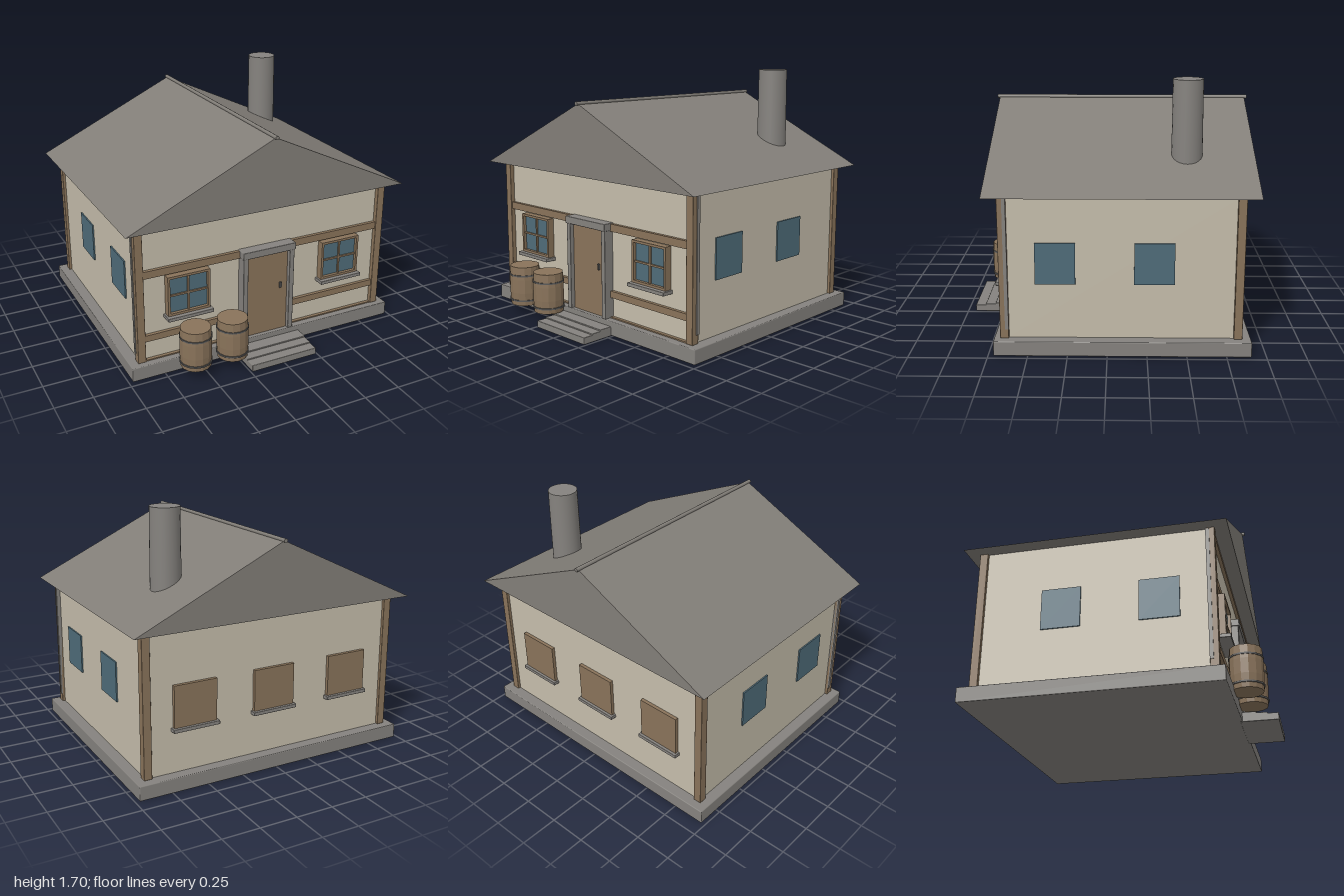
import * as THREE from 'three';
import { RoundedBoxGeometry } from 'three/addons/geometries/RoundedBoxGeometry.js';

const mat = (name, color) => Object.assign(new THREE.MeshStandardMaterial({ color }), { name });

export function createModel() {
  const house = new THREE.Group();
  house.name = 'cottage';
  const stone = mat('stone grey', 0x85827e);
  const slate = mat('roof grey', 0x827e78);
  const plaster = mat('cream plaster', 0xc5bdab);
  const wood = mat('brown wood', 0x89735a);
  const glass = mat('blue glass', 0x4f6c79);
  const iron = mat('dark iron', 0x5c5b5a);

  const add = (name, geometry, material, parent = house) => {
    const mesh = new THREE.Mesh(geometry, material);
    mesh.name = name;
    parent.add(mesh);
    return mesh;
  };
  // Box given by its limits on each axis, with an optional softened edge
  const box = (name, material, [x0, x1], [y0, y1], [z0, z1], parent = house, bevel = 0) => {
    const size = [x1 - x0, y1 - y0, z1 - z0];
    const geometry = bevel ? new RoundedBoxGeometry(...size, 1, bevel) : new THREE.BoxGeometry(...size);
    const mesh = add(name, geometry, material, parent);
    mesh.position.set((x0 + x1) / 2, (y0 + y1) / 2, (z0 + z1) / 2);
    return mesh;
  };
  const group = (name, x = 0, y = 0, z = 0) => {
    const g = new THREE.Group();
    g.name = name;
    g.position.set(x, y, z);
    house.add(g);
    return g;
  };

  // Foundation, steps and walls
  box('foundation', stone, [-0.975, 0.975], [0.003, 0.1], [-0.905, 0.715], house, 0.006);
  [[0.048, 0.945], [0.056, 0.875], [0.065, 0.805]].forEach(([top, front]) =>
    box('step', stone, [-0.24, 0.24], [0, top], [0.7, front], house, 0.005));
  box('walls', plaster, [-0.9, 0.9], [0.09, 1.035], [-0.83, 0.645]);

  // Gabled roof with a ridge pole
  const gable = new THREE.Shape([[-1, 1.03], [1, 1.03], [0, 1.502]].map(p => new THREE.Vector2(...p)));
  const roof = add('roof', new THREE.ExtrudeGeometry(gable, { depth: 1.69, bevelEnabled: false }), slate);
  roof.position.z = -0.93;
  const ridge = add('ridgePole', new THREE.CylinderGeometry(0.013, 0.013, 1.722, 10), slate);
  ridge.rotation.x = Math.PI / 2;
  ridge.position.set(0, 1.504, -0.085);

  // Chimney
  const chimney = add('chimney', new THREE.CylinderGeometry(0.096, 0.1, 0.62, 24), stone);
  chimney.position.set(0.59, 1.39, -0.5);

  // Corner posts, side strips and side windows
  for (const s of [-1, 1]) {
    const span = (a, b) => (s > 0 ? [a, b] : [-b, -a]);
    box('frontPost', wood, span(0.865, 0.92), [0.1, 1.03], [0.62, 0.676], house, 0.004);
    box('backPost', wood, span(0.865, 0.92), [0.1, 1.03], [-0.85, -0.795], house, 0.004);
    box('sideStrip', stone, span(0.895, 0.926), [0.16, 1.02], [0.62, 0.643]);
    for (const z of [0.325, -0.293])
      box('sideWindow', glass, span(0.9, 0.909), [0.458, 0.725], [z - 0.126, z + 0.126]);
  }

  // Timber beams across the front
  [[0.24, 0.285], [0.685, 0.735], [1.008, 1.032], [0.098, 0.108]].forEach(y =>
    box('frontBeam', wood, [-0.866, 0.866], y, [0.63, 0.668]));

  // Door and its stone surround
  const door = group('door');
  box('doorPanel', wood, [-0.155, 0.155], [0.1, 0.69], [0.64, 0.685], door);
  for (const s of [-1, 1])
    box('doorJamb', stone, [s * 0.172 - 0.018, s * 0.172 + 0.018], [0.1, 0.7], [0.64, 0.715], door, 0.005);
  box('doorLintel', stone, [-0.195, 0.195], [0.69, 0.74], [0.64, 0.722], door, 0.005);
  box('doorHandle', iron, [0.095, 0.109], [0.415, 0.455], [0.68, 0.697], door);

  // Front windows: glass, frame, glazing bars and sill
  for (const x of [-0.566, 0.566]) {
    const win = group('frontWindow', x);
    box('glassPane', glass, [-0.14, 0.14], [0.405, 0.67], [0.64, 0.673], win);
    for (const s of [-1, 1]) {
      box('frameSide', wood, [s * 0.139 - 0.008, s * 0.139 + 0.008], [0.4, 0.675], [0.64, 0.695], win);
      const y = 0.5375 + s * 0.1295;
      box('frameRail', wood, [-0.147, 0.147], [y - 0.008, y + 0.008], [0.64, 0.695], win);
    }
    box('uprightBar', wood, [-0.006, 0.006], [0.4, 0.675], [0.65, 0.684], win);
    box('crossBar', wood, [-0.14, 0.14], [0.53, 0.542], [0.65, 0.684], win);
    box('sill', stone, [-0.16, 0.16], [0.375, 0.4], [0.64, 0.725], win, 0.004);
  }

  // Shuttered back windows
  for (const x of [-0.566, 0, 0.566]) {
    const win = group('backWindow', x);
    box('shutter', wood, [-0.147, 0.147], [0.4, 0.675], [-0.853, -0.82], win);
    box('sill', stone, [-0.16, 0.16], [0.375, 0.4], [-0.872, -0.82], win, 0.004);
  }

  // Barrels with iron hoops
  const stave = [[0, 0], [0.1, 0], [0.106, 0.09], [0.106, 0.185], [0.101, 0.275], [0, 0.275]];
  for (const x of [-0.57, -0.308]) {
    const barrel = group('barrel', x, 0.07, 0.789);
    const body = new THREE.LatheGeometry(stave.map(p => new THREE.Vector2(...p)), 14).toNonIndexed();
    body.computeVertexNormals();
    add('barrelBody', body, wood, barrel);
    for (const y of [0.036, 0.214]) {
      const hoop = add('hoop', new THREE.CylinderGeometry(0.109, 0.109, 0.011, 14), iron, barrel);
      hoop.position.y = y;
    }
  }
  return house;
}
